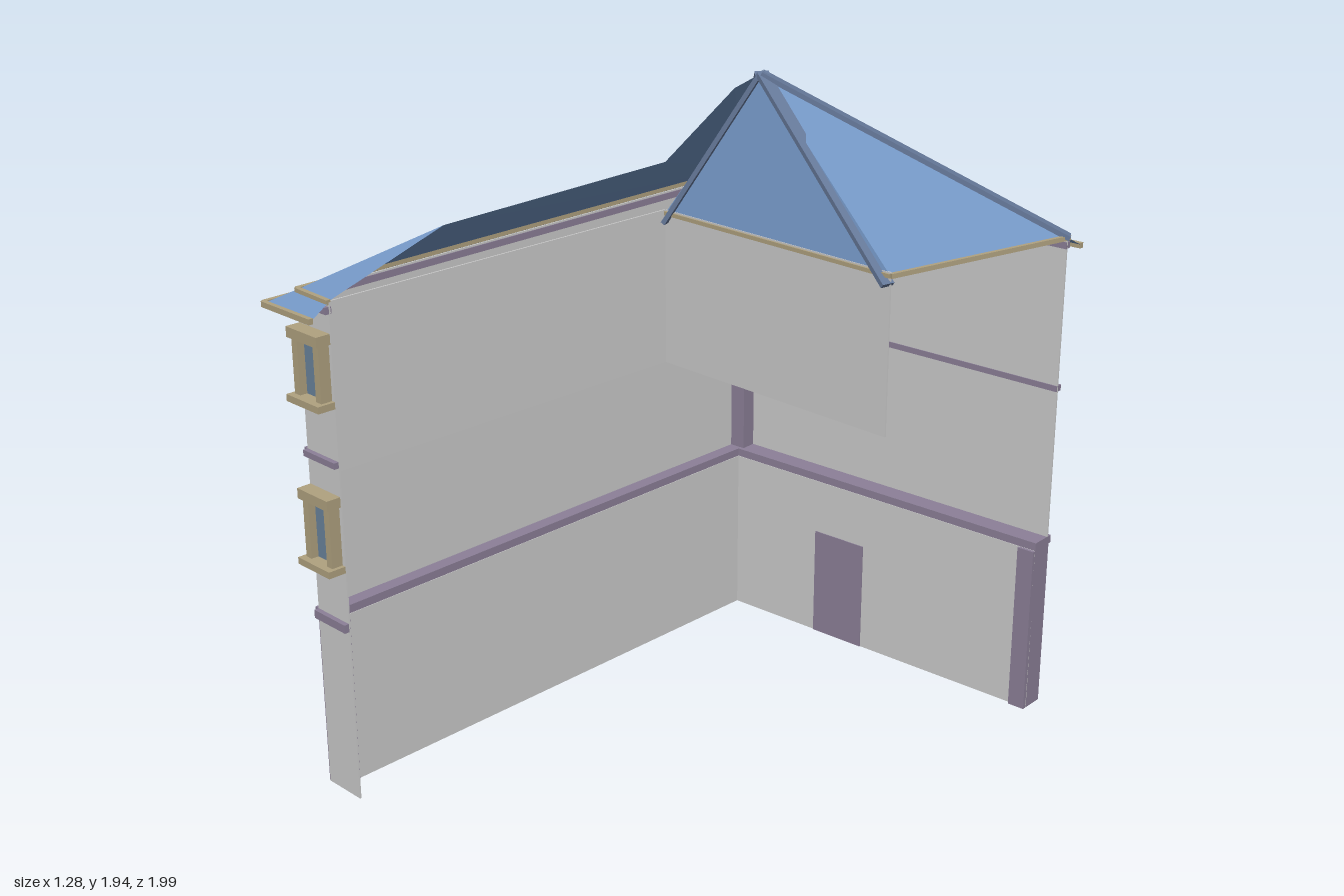
import * as THREE from 'three';

const mat = (color) => new THREE.MeshStandardMaterial({ color, flatShading: true, side: THREE.DoubleSide });
const M = {
  wall: mat(0xcccccc), roof: mat(0x7396c4), ridge: mat(0x66799a), trim: mat(0xb0a280),
  purple: mat(0x8c8098), glass: mat(0x6a839c),
};

function add(parent, name, geo, material) {
  const mesh = new THREE.Mesh(geo, material);
  mesh.name = name;
  parent.add(mesh);
  return mesh;
}

// box given by its extents
function box(parent, name, m, x0, x1, y0, y1, z0, z1) {
  const mesh = add(parent, name, new THREE.BoxGeometry(x1 - x0, y1 - y0, z1 - z0), m);
  mesh.position.set((x0 + x1) / 2, (y0 + y1) / 2, (z0 + z1) / 2);
  return mesh;
}

// flat polygon, fanned from its first corner
function poly(parent, name, m, pts) {
  const pos = [];
  for (let i = 1; i < pts.length - 1; i++) pos.push(...pts[0], ...pts[i], ...pts[i + 1]);
  const geo = new THREE.BufferGeometry();
  geo.setAttribute('position', new THREE.Float32BufferAttribute(pos, 3));
  geo.computeVertexNormals();
  return add(parent, name, geo, m);
}

// straight bar between two points
function beam(parent, name, m, a, b, w, h) {
  const p = new THREE.Vector3(...a), q = new THREE.Vector3(...b);
  const mesh = add(parent, name, new THREE.BoxGeometry(w, h, p.distanceTo(q)), m);
  mesh.position.copy(p).lerp(q, 0.5);
  mesh.lookAt(q);
  return mesh;
}

// window with jambs, lintel and sill; c is the centre along the wall, z the wall plane
function windowUnit(parent, c, w, y0, y1, z) {
  const g = new THREE.Group();
  g.name = 'window';
  const h = w / 2, j = w * 0.2;
  box(g, 'glass', M.glass, c - h + j, c + h - j, y0 + 0.02, y1 - 0.03, z, z + 0.012);
  for (const s of [-1, 1]) {
    const mid = c + s * (h - j / 2);
    box(g, 'jamb', M.trim, mid - j / 2, mid + j / 2, y0 + 0.02, y1 - 0.03, z, z + 0.035);
  }
  box(g, 'lintel', M.trim, c - h - 0.008, c + h + 0.008, y1 - 0.03, y1, z, z + 0.045);
  box(g, 'sill', M.trim, c - h - 0.012, c + h + 0.012, y0, y0 + 0.02, z, z + 0.055);
  parent.add(g);
}

// frame for a facade: local x runs along the wall, local z points outward
function facade(parent, name, [ax, az], [bx, bz]) {
  const g = new THREE.Group();
  g.name = name;
  g.position.set(ax, 0, az);
  g.rotation.y = Math.atan2(-(bz - az), bx - ax);
  parent.add(g);
  return { g, len: Math.hypot(bx - ax, bz - az) };
}

const FLOORS = [[0.71, 0.935], [1.19, 1.4]];

function bands(g, len, depth) {
  box(g, 'lowerBand', M.purple, 0, len, 0.53, 0.555, -depth, 0.015);
  box(g, 'upperBand', M.purple, 0, len, 1.02, 1.038, -0.008, 0.015);
  box(g, 'corniceBand', M.purple, 0, len, 1.455, 1.475, -0.008, 0.012);
}

export function createModel() {
  const root = new THREE.Group();
  root.name = 'cornerBuilding';
  const BR = [0.62, -0.92], BL = [-0.57, -0.83], FL = [-0.53, 0.92], FR = [-0.39, 0.92];

  // back facade: recessed ground floor with door
  {
    const { g, len } = facade(root, 'backFacade', BR, BL);
    const z = -0.065;
    box(g, 'upperWall', M.wall, 0, len, 0.55, 1.48, -0.005, 0);
    box(g, 'groundWall', M.wall, 0, len - 0.04, 0, 0.53, z - 0.005, z);
    bands(g, len, 0.068);
    for (const t of [0.19, 0.43, 0.85]) windowUnit(g, t * len, 0.19, 0.18, 0.48, z);
    for (const [y0, y1] of FLOORS) for (const t of [0.16, 0.82]) windowUnit(g, t * len, 0.15, y0, y1, 0);
    const c = 0.725;
    box(g, 'door', M.purple, c - 0.095, c + 0.095, 0, 0.355, z - 0.008, z + 0.012);
    for (const y of [0.11, 0.27]) box(g, 'doorRail', M.purple, c - 0.09, c + 0.09, y, y + 0.015, z + 0.01, z + 0.02);
    box(g, 'doorKnob', M.trim, c + 0.06, c + 0.075, 0.18, 0.195, z + 0.01, z + 0.03);
    for (const s of [-1, 1]) {
      const x = c + s * 0.11;
      box(g, 'doorPost', M.trim, x - 0.015, x + 0.015, 0, 0.365, z, z + 0.035);
    }
    box(g, 'doorLintel', M.trim, c - 0.135, c + 0.135, 0.36, 0.4, z, z + 0.045);
    // brackets under the band
    for (const t of [0.31, 0.52, 0.73]) box(g, 'bracket', M.purple, t * len - 0.015, t * len + 0.015, 0.49, 0.53, z, z + 0.05);
    box(g, 'endPillar', M.purple, 0, 0.055, 0, 0.53, -0.08, 0.005);
    box(g, 'cornerPillar', M.purple, len - 0.055, len + 0.008, 0, 1.47, -0.055, 0.008);
  }

  // long left facade
  {
    const { g, len } = facade(root, 'leftFacade', BL, FL);
    const z = -0.045;
    box(g, 'upperWall', M.wall, 0, len, 0.55, 1.48, -0.005, 0);
    box(g, 'groundWall', M.wall, 0.06, len - 0.06, 0, 0.53, z - 0.005, z);
    bands(g, len, 0.048);
    for (const t of [0.09, 0.27, 0.47, 0.67, 0.87]) windowUnit(g, t * len, 0.19, 0.18, 0.48, z);
    for (const [y0, y1] of FLOORS) for (const t of [0.32, 0.52, 0.91]) windowUnit(g, t * len, 0.15, y0, y1, 0);
    box(g, 'endPillar', M.purple, len - 0.065, len - 0.002, 0, 0.53, -0.055, 0.005);
  }

  // narrow front end
  {
    const { g, len } = facade(root, 'frontEnd', FL, FR);
    box(g, 'endWall', M.wall, 0, len, 0, 1.48, -0.005, 0);
    bands(g, len, 0.005);
    for (const [y0, y1] of FLOORS) windowUnit(g, 0.07, 0.118, y0, y1, 0);
  }

  // courtyard walls of the top storey
  box(root, 'courtWallSide', M.wall, -0.395, -0.39, 1.01, 1.49, -0.305, 0.92);
  box(root, 'courtWallFront', M.wall, -0.39, 0.48, 1.01, 1.49, -0.31, -0.305);

  // main roof
  const roof = new THREE.Group();
  roof.name = 'roof';
  root.add(roof);
  const A = [-0.57, 1.49, -0.83], B = [-0.53, 1.49, 0.92], C = [-0.39, 1.615, 0.53], D = [-0.39, 1.635, -0.305];
  const E = [-0.11, 1.9, -0.305], P = [-0.095, 1.93, -0.4];
  const R = [0.625, 1.49, -0.92], F = [0.48, 1.48, -0.305], G = [-0.39, 1.48, -0.305];
  poly(roof, 'leftSlope', M.roof, [A, B, C, D, E, P]);
  poly(roof, 'frontHip', M.roof, [B, [-0.39, 1.49, 0.92], C]);
  poly(roof, 'backSlope', M.roof, [R, A, P]);
  poly(roof, 'rightSlope', M.roof, [F, R, P]);
  poly(roof, 'courtSlope', M.roof, [G, F, P]);
  const lowF = [0.478, 1.455, -0.297], lowG = [-0.382, 1.455, -0.297];
  for (const p of [A, R, lowF, lowG]) beam(roof, 'hipCap', M.ridge, p, P, 0.04, 0.014);

  // flared eaves with gutters, mitred at the corners
  const inner = [[0.62, 1.487, -0.92], A, B, [-0.39, 1.487, 0.92]];
  const outer = [[0.62, 1.45, -0.99], [-0.632, 1.45, -0.885], [-0.598, 1.45, 0.982], [-0.385, 1.45, 0.982]];
  for (let i = 0; i < 3; i++) {
    poly(roof, 'eave', M.roof, [outer[i], outer[i + 1], inner[i + 1], inner[i]]);
    beam(roof, 'eaveTrim', M.trim, inner[i], inner[i + 1], 0.014, 0.014);
    beam(roof, 'gutter', M.trim, outer[i], outer[i + 1], 0.014, 0.016);
  }
  beam(roof, 'eaveTrim', M.trim, R, F, 0.012, 0.014);
  beam(roof, 'eaveTrim', M.trim, G, F, 0.012, 0.012);
  return root;
}
